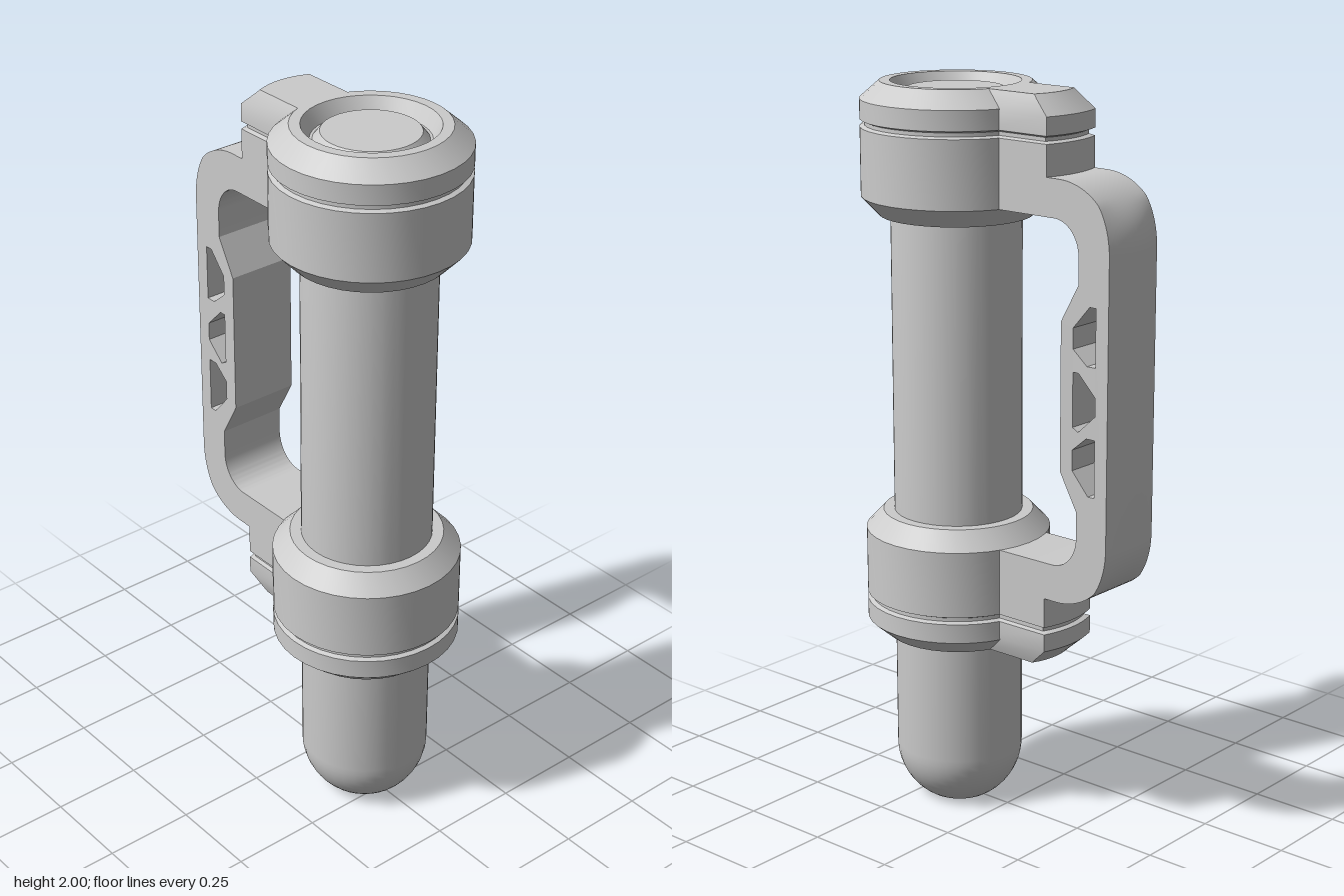
import * as THREE from 'three';
import { toCreasedNormals } from 'three/addons/utils/BufferGeometryUtils.js';

const AXIS_Z = 0.177; // centre line of the tube
const HALF_W = 0.097; // half width of handle and lugs
const MIRROR_Y = 2.485; // lower collar is the upper one turned over: y' = MIRROR_Y - y
const material = new THREE.MeshStandardMaterial({ color: 0xcccccc });

function part(name, geometry) {
  const mesh = new THREE.Mesh(toCreasedNormals(geometry, 0.5), material);
  mesh.name = name;
  return mesh;
}

function lathe(name, profile) {
  const mesh = part(name, new THREE.LatheGeometry(profile.map(([r, y]) => new THREE.Vector2(r, y)), 36));
  mesh.position.z = AXIS_Z;
  return mesh;
}

// Stacked outlines with a bowed back; each layer is [y, side inset, back inset]
function lugGeometry(layers) {
  const positions = [], index = [], bow = 8, n = bow + 3;
  for (const [y, side, back] of layers) {
    const w = HALF_W - side;
    positions.push(w, y, 0);
    for (let i = 0; i <= bow; i++) {
      const s = 1 - (2 * i) / bow;
      positions.push(w * s, y, -0.228 + back + 0.018 * s * s);
    }
    positions.push(-w, y, 0);
  }
  const top = (layers.length - 1) * n;
  for (let l = 0; l < top; l += n) {
    for (let j = 0; j < n; j++) {
      const k = (j + 1) % n;
      index.push(l + j, l + k, l + n + k, l + j, l + n + k, l + n + j);
    }
  }
  for (let j = 1; j < n - 1; j++) {
    index.push(0, j + 1, j, top, top + j, top + j + 1);
  }
  const geometry = new THREE.BufferGeometry();
  geometry.setAttribute('position', new THREE.Float32BufferAttribute(positions, 3));
  geometry.setIndex(index);
  return geometry;
}

// Collar ring with a groove, and the lug that carries the handle
function collar(name) {
  const group = new THREE.Group();
  group.name = name;
  group.add(lathe('collarRing', [
    [0.17, 1.65], [0.205, 1.65], [0.252, 1.7], [0.252, 1.882], [0.24, 1.887],
    [0.24, 1.897], [0.252, 1.902], [0.252, 1.955], [0.2, 2], [0.172, 2],
  ]));
  group.add(part('handleLug', lugGeometry([
    [1.7, 0, 0], [1.882, 0, 0], [1.887, 0.01, 0.012], [1.897, 0.01, 0.012],
    [1.902, 0, 0], [1.95, 0, 0], [1.99, 0.014, 0.045], [2, 0.018, 0.055],
  ])));
  return group;
}

function handle() {
  // Side outline: u points backward, v points up
  const shape = new THREE.Shape();
  shape.moveTo(0.15, 1.7);
  shape.lineTo(0.235, 1.7);
  shape.absellipse(0.235, 1.61, 0.08, 0.09, Math.PI / 2, 0, true);
  shape.lineTo(0.315, 1.54);
  shape.lineTo(0.26, 1.44);
  shape.lineTo(0.26, 1.045);
  shape.lineTo(0.315, 0.945);
  shape.lineTo(0.315, 0.875);
  shape.absellipse(0.235, 0.875, 0.08, 0.09, 0, -Math.PI / 2, true);
  shape.lineTo(0.15, 0.785);
  shape.lineTo(0.15, 0.685);
  shape.lineTo(0.25, 0.685);
  shape.absarc(0.25, 0.865, 0.18, -Math.PI / 2, 0, false);
  shape.lineTo(0.43, 1.62);
  shape.absarc(0.25, 1.62, 0.18, 0, Math.PI / 2, false);
  shape.lineTo(0.15, 1.8);
  shape.closePath();

  // Truss-like cut-outs: the lower one mirrors the upper one
  const upper = [[0.3, 1.375], [0.345, 1.337], [0.372, 1.337], [0.372, 1.49], [0.352, 1.49], [0.3, 1.43]];
  const middle = [[0.3, 1.17], [0.318, 1.16], [0.372, 1.21], [0.372, 1.26], [0.318, 1.315], [0.3, 1.315]];
  const lower = upper.map(([u, v]) => [u, MIRROR_Y - v]);
  for (const hole of [upper, middle, lower]) {
    shape.holes.push(new THREE.Path(hole.map(([u, v]) => new THREE.Vector2(u, v))));
  }

  const geometry = new THREE.ExtrudeGeometry(shape, {
    depth: 2 * HALF_W, steps: 8, curveSegments: 10, bevelEnabled: false,
  });
  geometry.translate(0, 0, -HALF_W);
  geometry.rotateY(Math.PI / 2);

  // Bow the outer grip face across its width
  const p = geometry.attributes.position;
  for (let i = 0; i < p.count; i++) {
    const t = THREE.MathUtils.clamp((-p.getZ(i) - 0.375) / 0.055, 0, 1);
    p.setZ(i, p.getZ(i) + 0.018 * t * (p.getX(i) / HALF_W) ** 2);
  }
  return part('handle', geometry);
}

export function createModel() {
  const model = new THREE.Group();
  model.name = 'handledTube';

  // Tube with a rounded foot, a recessed base disc and a sunken top plug
  const profile = [[0, 0.012], [0.074, 0.012], [0.08, 0]];
  const start = -Math.asin(0.15 / 0.175);
  for (let i = 0; i <= 10; i++) {
    const a = start * (1 - i / 10);
    profile.push([0.175 * Math.cos(a), 0.15 + 0.175 * Math.sin(a)]);
  }
  profile.push([0.175, 1.97], [0.172, 2], [0.15, 1.96], [0.143, 1.96], [0.125, 1.982], [0, 1.982]);
  model.add(lathe('tube', profile));

  model.add(collar('upperCollar'));
  const lowerCollar = collar('lowerCollar');
  lowerCollar.rotation.z = Math.PI;
  lowerCollar.position.y = MIRROR_Y;
  model.add(lowerCollar);

  model.add(handle());
  return model;
}
